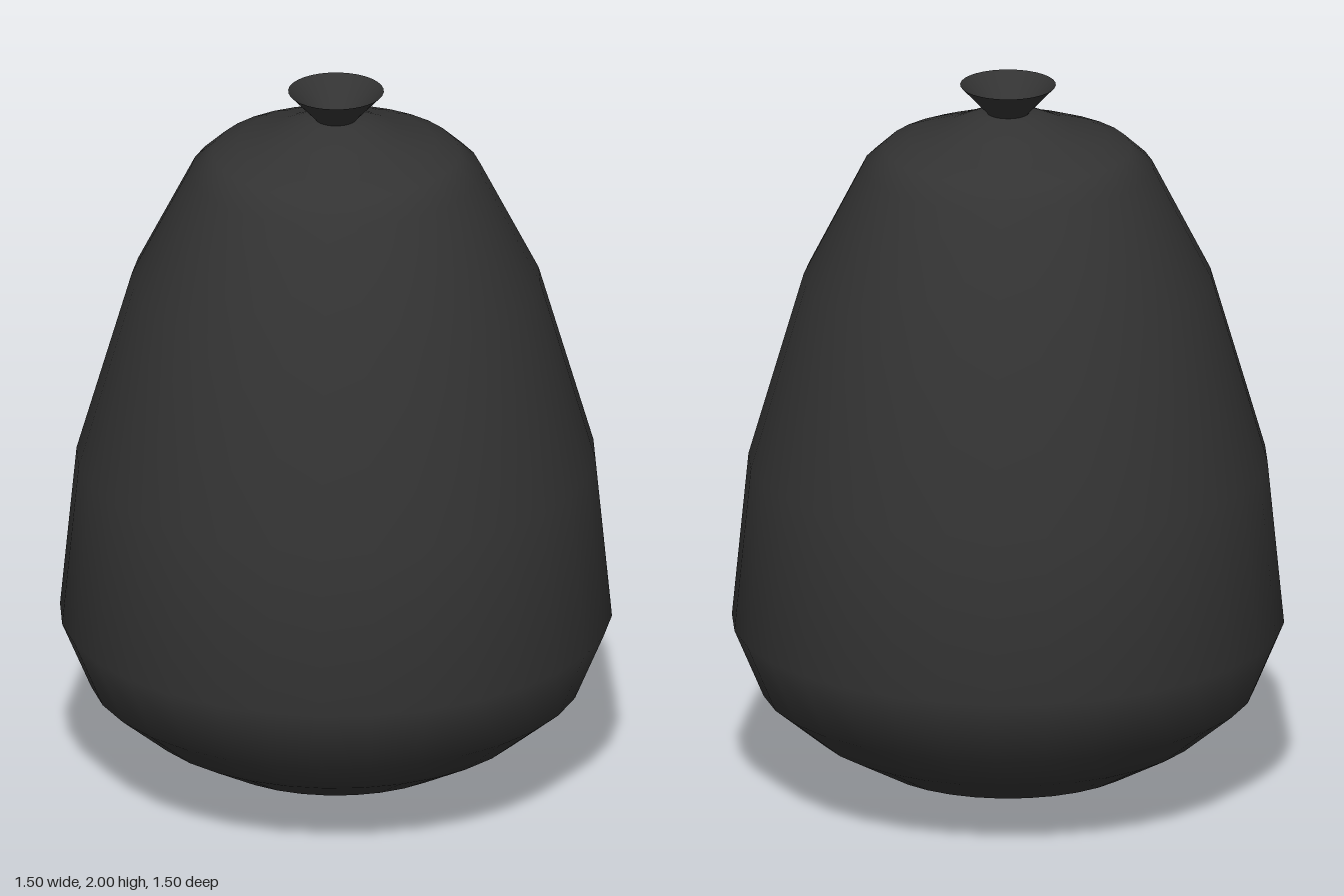
import * as THREE from 'three';

const SEGMENTS = 32;

// Smooth surface of revolution from [radius, height] pairs, listed bottom to top
function turned(name, profile, material) {
  const points = profile.map(([r, y]) => new THREE.Vector2(r, y));
  const mesh = new THREE.Mesh(new THREE.LatheGeometry(points, SEGMENTS), material);
  mesh.name = name;
  return mesh;
}

export function createModel() {
  const group = new THREE.Group();
  group.name = 'tiedSack';

  const dark = new THREE.MeshStandardMaterial({ color: 0x333333 });
  const darkThin = new THREE.MeshStandardMaterial({ color: 0x333333, side: THREE.DoubleSide });

  // Sagging, rounded bag
  group.add(turned('bag', [
    [0, 0], [0.19, 0.025], [0.365, 0.08], [0.53, 0.17], [0.67, 0.285],
    [0.75, 0.475], [0.705, 0.935], [0.555, 1.45], [0.395, 1.765],
    [0.335, 1.82], [0.27, 1.845], [0.17, 1.88], [0.085, 1.918], [0, 1.926],
  ], dark));

  // Open, flared end above the tie
  group.add(turned('flaredNeck', [
    [0.045, 1.905], [0.06, 1.925], [0.13, 2],
  ], darkThin));

  return group;
}
